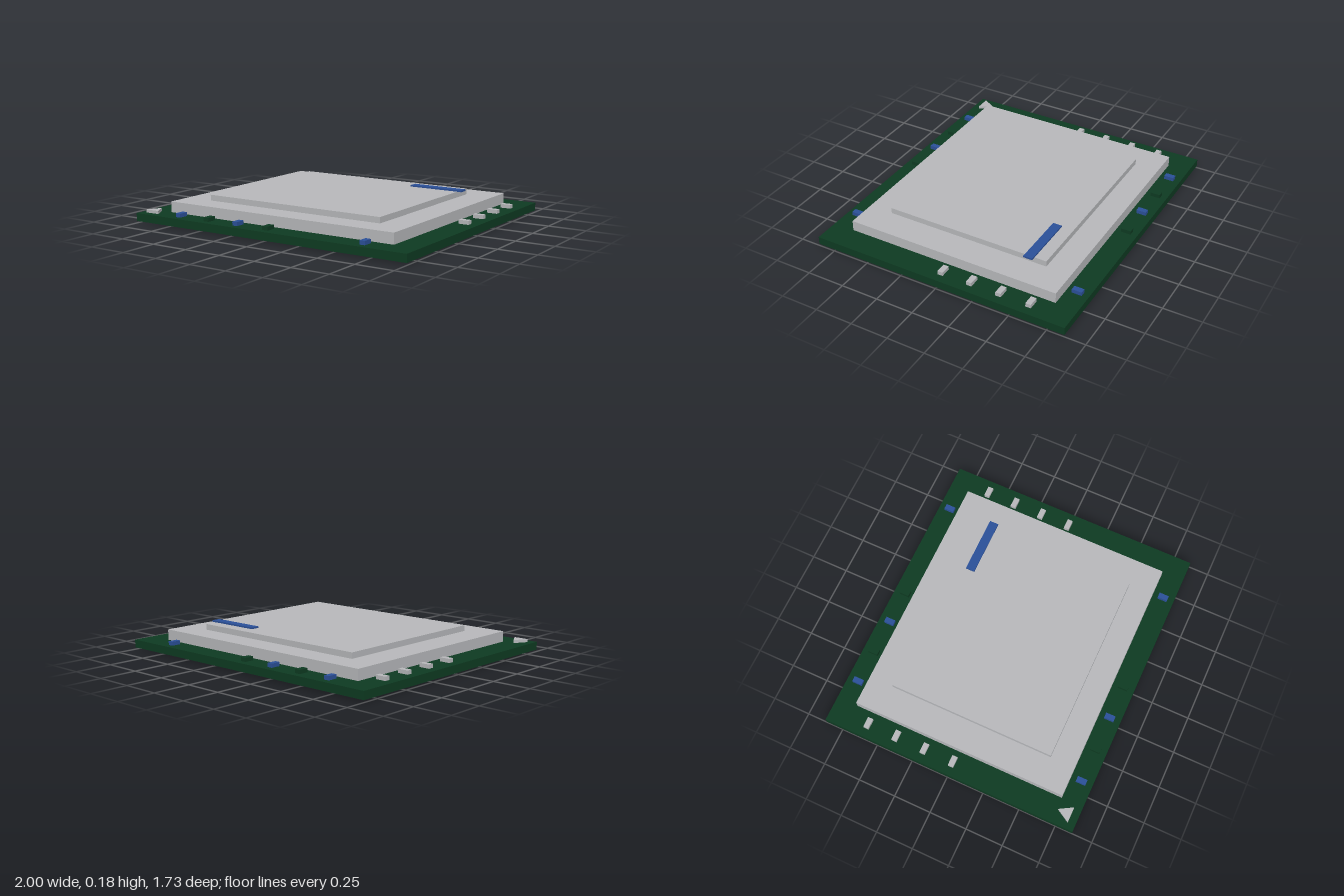
import * as THREE from 'three';

const material = (name, color) => {
  const m = new THREE.MeshStandardMaterial({ color });
  m.name = name;
  return m;
};

export function createModel() {
  const green = material('board green', 0x0e3b22);
  const silver = material('silver metal', 0xb8b9bc);
  const blue = material('blue', 0x2b5099);
  const model = new THREE.Group();
  model.name = 'processorChip';

  // Box centred on (x, z), spanning bottom to top
  const box = (name, mat, w, d, bottom, top, x = 0, z = 0) => {
    const mesh = new THREE.Mesh(new THREE.BoxGeometry(w, top - bottom, d), mat);
    mesh.position.set(x, (bottom + top) / 2, z);
    mesh.name = name;
    model.add(mesh);
  };

  // Contact plate, circuit board and stepped heat spreader
  box('contactPlate', silver, 1.86, 1.61, 0, 0.013);
  box('circuitBoard', green, 2, 1.73, 0.013, 0.065);
  box('heatSpreaderBase', silver, 1.665, 1.44, 0.065, 0.135);
  box('heatSpreaderTop', silver, 1.28, 1.11, 0.135, 0.173);
  box('blueStripe', blue, 0.38, 0.06, 0.172, 0.183, 0.48, -0.445);

  // Silver components along the left and right edges
  for (const x of [-0.91, 0.91])
    for (const z of [-0.6, -0.4, -0.2, 0])
      box('sideCapacitor', silver, 0.07, 0.036, 0.065, 0.09, x, z);

  // Blue and green components along the front and back edges
  for (const z of [-0.79, 0.79]) {
    for (const x of [-0.685, -0.23, 0.685])
      box('blueResistor', blue, 0.036, 0.065, 0.065, 0.09, x, z);
    for (const x of [-0.457, 0])
      box('greenResistor', green, 0.04, 0.065, 0.065, 0.09, x, z);
  }

  // Triangular corner marker pointing to the back
  const marker = new THREE.Mesh(
    new THREE.CylinderGeometry(0.059, 0.059, 0.02, 3, 1, false, Math.PI).toNonIndexed(), silver);
  marker.geometry.computeVertexNormals();
  marker.position.set(-0.91, 0.075, 0.786);
  marker.name = 'cornerMarker';
  model.add(marker);

  return model;
}
